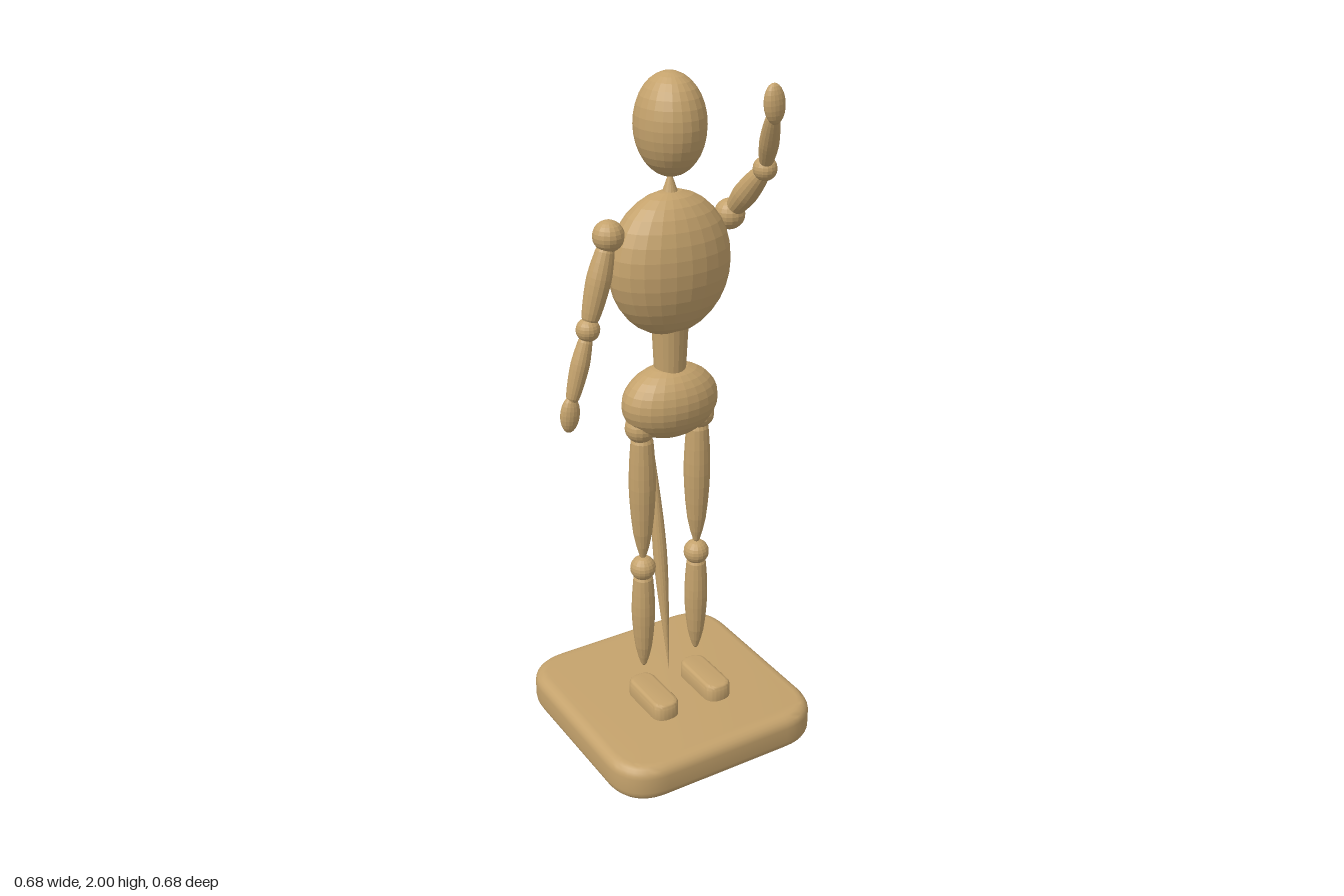
import * as THREE from 'three';
import { toCreasedNormals } from 'three/addons/utils/BufferGeometryUtils.js';

const wood = new THREE.MeshStandardMaterial({ color: 0xc4a26c });
wood.name = 'tan wood';
// faceted variant of the same colour for the turned pieces
const turned = wood.clone();
turned.flatShading = true;

const V = (x, y, z) => new THREE.Vector3(x, y, z);

function add(group, name, geometry, material = turned) {
  const mesh = new THREE.Mesh(geometry, material);
  mesh.name = name;
  group.add(mesh);
  return mesh;
}

function ellipsoid(group, name, center, rx, ry = rx, rz = rx, w = 16, h = 12) {
  const mesh = add(group, name, new THREE.SphereGeometry(1, w, h).scale(rx, ry, rz));
  mesh.position.copy(center);
  return mesh;
}

// turned limb between two points; profile holds [radius, fraction along the limb]
function limb(group, name, from, to, radius, profile) {
  const length = from.distanceTo(to);
  const points = new THREE.SplineCurve(profile.map(([r, t]) => new THREE.Vector2(r * radius, t * length)))
    .getPoints(14).map(p => new THREE.Vector2(Math.max(p.x, 0), p.y));
  const mesh = add(group, name, new THREE.LatheGeometry(points, 16));
  mesh.position.copy(from);
  mesh.quaternion.setFromUnitVectors(V(0, 1, 0), to.clone().sub(from).normalize());
  return mesh;
}

// soft-cornered slab standing on y = 0
function slab(width, depth, height, corner, bevel) {
  const x = width / 2 - bevel, z = depth / 2 - bevel;
  const s = new THREE.Shape();
  s.moveTo(-x + corner, -z);
  s.lineTo(x - corner, -z);
  s.quadraticCurveTo(x, -z, x, -z + corner);
  s.lineTo(x, z - corner);
  s.quadraticCurveTo(x, z, x - corner, z);
  s.lineTo(-x + corner, z);
  s.quadraticCurveTo(-x, z, -x, z - corner);
  s.lineTo(-x, -z + corner);
  s.quadraticCurveTo(-x, -z, -x + corner, -z);
  const g = new THREE.ExtrudeGeometry(s, {
    depth: height - 2 * bevel, bevelEnabled: true, bevelThickness: bevel,
    bevelSize: bevel, bevelSegments: 5, curveSegments: 10,
  });
  g.translate(0, 0, bevel).rotateX(-Math.PI / 2);
  return toCreasedNormals(g, 0.7);
}

const LEG = [[0, 0], [0.25, 0.02], [0.72, 0.22], [0.97, 0.5], [1, 0.7], [0.88, 0.92], [0.72, 1], [0, 1]];
const ARM = [[0, 0], [0.65, 0.01], [0.95, 0.3], [1, 0.5], [0.85, 0.8], [0.6, 0.99], [0, 1]];
const SPINDLE = [[0, 0], [0.5, 0.2], [0.95, 0.42], [0.95, 0.6], [0.5, 0.82], [0, 1]];

function addArm(model, side, shoulder, elbow, wrist, hand, handSize) {
  const arm = new THREE.Group();
  arm.name = side + 'Arm';
  model.add(arm);
  ellipsoid(arm, 'shoulderJoint', shoulder, 0.043);
  limb(arm, 'upperArm', shoulder.clone().lerp(elbow, 0.1), shoulder.clone().lerp(elbow, 0.92), 0.034, ARM);
  ellipsoid(arm, 'elbowJoint', elbow, 0.033);
  limb(arm, 'forearm', elbow.clone().lerp(wrist, 0.1), wrist, 0.026, ARM);
  return ellipsoid(arm, 'hand', hand, ...handSize);
}

export function createModel() {
  const model = new THREE.Group();
  model.name = 'artistMannequin';

  // stand
  add(model, 'base', slab(0.68, 0.68, 0.115, 0.1, 0.034), wood);
  limb(model, 'supportRod', V(0, 0.16, -0.005), V(0, 0.94, -0.108), 0.021, SPINDLE);

  // legs and feet
  for (const [side, s] of [['left', 1], ['right', -1]]) {
    const leg = new THREE.Group();
    leg.name = side + 'Leg';
    model.add(leg);
    const x = 0.092 * s;
    add(leg, 'foot', slab(0.086, 0.195, 0.065, 0.025, 0.014), wood).position.set(x, 0.1, 0.057);
    limb(leg, 'shin', V(x, 0.22, 0), V(x, 0.535, 0), 0.035, LEG);
    ellipsoid(leg, 'kneeJoint', V(x, 0.562, 0), 0.038);
    limb(leg, 'thigh', V(x, 0.595, 0), V(x, 0.985, 0), 0.039, LEG);
    ellipsoid(leg, 'hipJoint', V(0.096 * s, 1.019, 0), 0.045);
  }

  // trunk
  ellipsoid(model, 'pelvis', V(0, 1.083, 0), 0.147, 0.109, 0.1, 24, 16);
  add(model, 'waist', new THREE.CylinderGeometry(0.052, 0.044, 0.16, 20)).position.y = 1.24;
  ellipsoid(model, 'chest', V(0, 1.487, 0), 0.181, 0.202, 0.117, 24, 16);
  add(model, 'neck', new THREE.CylinderGeometry(0.005, 0.026, 0.06, 16)).position.y = 1.7;
  ellipsoid(model, 'head', V(0, 1.863, 0), 0.094, 0.137, 0.107, 24, 16);

  // hanging right arm and raised left arm
  addArm(model, 'right', V(-0.187, 1.593, 0), V(-0.254, 1.345, 0), V(-0.308, 1.15, 0),
    V(-0.315, 1.112, 0), [0.028, 0.053, 0.021]).rotation.z = -0.1;
  addArm(model, 'left', V(0.19, 1.593, 0), V(0.213, 1.745, 0.128), V(0.166, 1.91, 0.225),
    V(0.157, 1.943, 0.241), [0.03, 0.053, 0.021]).rotation.z = 0.1;

  return model;
}
